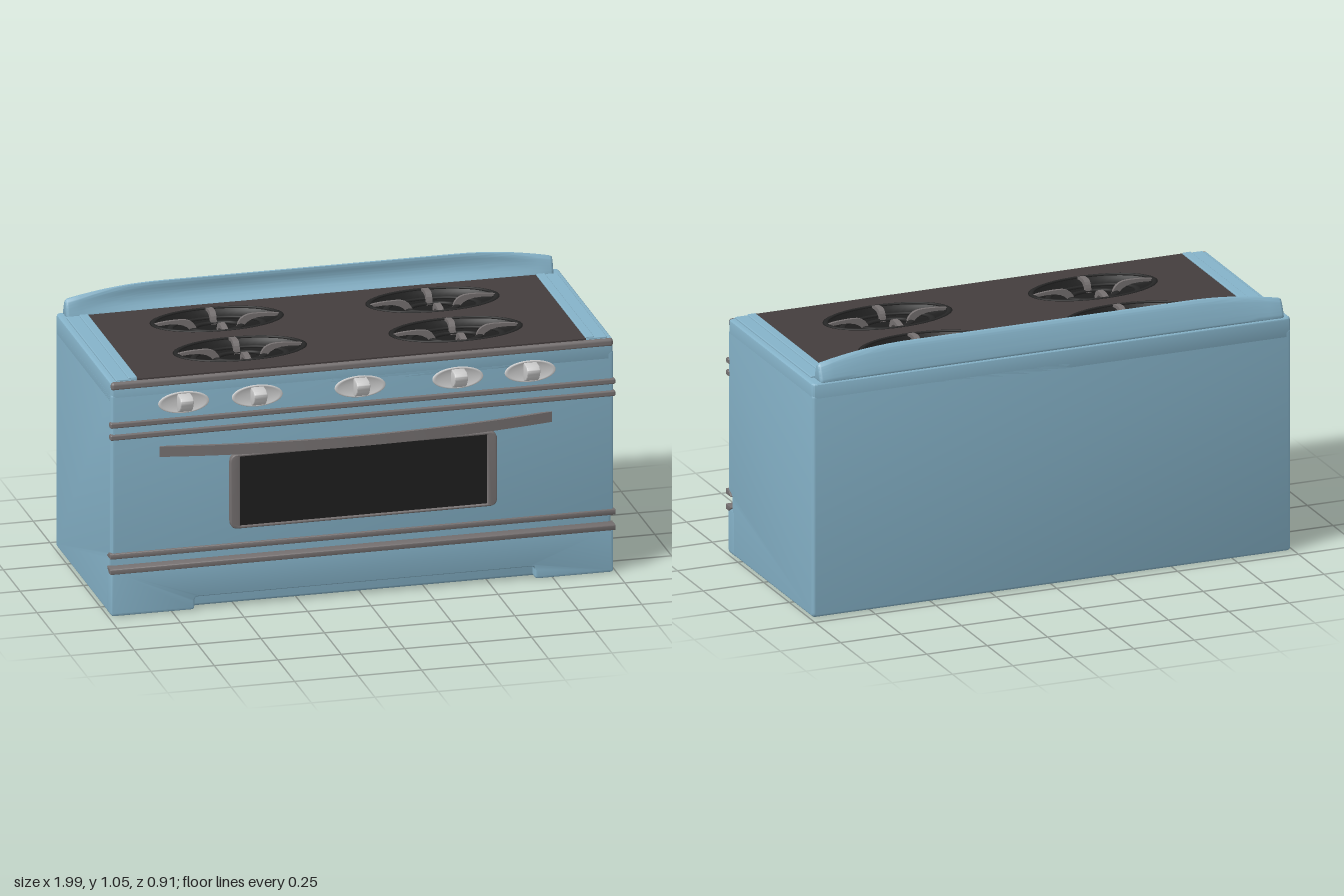
import * as THREE from 'three';
import { RoundedBoxGeometry } from 'three/addons/geometries/RoundedBoxGeometry.js';
import { toCreasedNormals } from 'three/addons/utils/BufferGeometryUtils.js';

const mat = (color, side = THREE.FrontSide) => new THREE.MeshStandardMaterial({ color, side });
const blue = mat(0x85b2c8), grey = mat(0x757070), dark = mat(0x443d3d), iron = mat(0x262626);
const black = mat(0x1d1d1d, THREE.DoubleSide), steel = mat(0xcccccc, THREE.DoubleSide);
const burnerSpots = [-0.42, 0.43].flatMap((x) => [-0.21, 0.135].map((z) => [x, z]));

function add(parent, name, geometry, material, x = 0, y = 0, z = 0) {
  const mesh = new THREE.Mesh(geometry, material);
  mesh.name = name;
  mesh.position.set(x, y, z);
  parent.add(mesh);
  return mesh;
}

// Box given by its limits
function block(parent, name, material, [x0, x1], [y0, y1], [z0, z1], r = 0.004) {
  return add(parent, name, new RoundedBoxGeometry(x1 - x0, y1 - y0, z1 - z0, 2, r), material,
    (x0 + x1) / 2, (y0 + y1) / 2, (z0 + z1) / 2);
}

// Closed polygon with rounded corners
function roundedShape(points, r, Type = THREE.Shape) {
  const p = points.map(([x, y]) => new THREE.Vector2(x, y));
  const toward = (a, b) => a.clone().add(b.clone().sub(a).setLength(Math.min(r, a.distanceTo(b) * 0.45)));
  const shape = new Type();
  p.forEach((c, i) => {
    const a = toward(c, p[(i + p.length - 1) % p.length]);
    const b = toward(c, p[(i + 1) % p.length]);
    if (i) shape.lineTo(a.x, a.y); else shape.moveTo(a.x, a.y);
    shape.quadraticCurveTo(c.x, c.y, b.x, b.y);
  });
  shape.closePath();
  return shape;
}

function extrude(shape, length, bevel, { steps = 1, curveSegments = 5 } = {}) {
  const geometry = new THREE.ExtrudeGeometry(shape, {
    depth: length - 2 * bevel, steps, curveSegments, bevelEnabled: bevel > 0,
    bevelSize: bevel, bevelOffset: -bevel, bevelThickness: bevel, bevelSegments: 3,
  });
  return geometry.translate(0, 0, bevel);
}

// Side profile of [z, y] points, extruded along x and centred
function sideExtrude(points, r, width, bevel, steps = 1) {
  const shape = roundedShape(points.map(([z, y]) => [-z, y]), r);
  return extrude(shape, width, bevel, { steps }).translate(0, 0, -width / 2).rotateY(Math.PI / 2);
}

// Plan shape drawn in (x, -z), extruded upwards
const planExtrude = (shape, height, bevel) =>
  toCreasedNormals(extrude(shape, height, bevel, { curveSegments: 24 }).rotateX(-Math.PI / 2), 0.5);

const rectangle = (x0, x1, y0, y1) => [[x0, y0], [x1, y0], [x1, y1], [x0, y1]];

function createBurner(x, z) {
  const burner = new THREE.Group();
  burner.name = 'burner';
  burner.position.set(x, 0.95, z);
  burner.scale.set(0.26, 1, 0.135);
  // Sunken bowl
  const section = [[0, -0.036], [0.5, -0.036], [0.75, -0.028], [0.92, -0.012], [0.97, 0.002], [1.01, 0.002]]
    .map(([r, h]) => new THREE.Vector2(r, h));
  add(burner, 'burnerBowl', new THREE.LatheGeometry(section, 48), black);
  for (const [r, tube, y] of [[0.96, 0.04, 0.001], [0.7, 0.05, -0.026], [0.36, 0.06, -0.03]]) {
    const ring = new THREE.TorusGeometry(r, tube, 8, 48).rotateX(Math.PI / 2).scale(1, 0.12, 1);
    add(burner, 'burnerRing', ring, iron, 0, y, 0);
  }
  // Grate arms arch over the rim and drop into the bowl
  const profile = new THREE.Shape().moveTo(0.3, -0.034).quadraticCurveTo(0.34, 0.013, 0.55, 0.013)
    .quadraticCurveTo(0.9, 0.013, 0.99, 0).lineTo(0.88, -0.004).quadraticCurveTo(0.5, 0.008, 0.4, -0.034);
  for (let i = 0; i < 4; i++) {
    const arm = new THREE.Group();
    arm.name = 'grateArm';
    arm.rotation.y = i * Math.PI / 2;
    add(arm, 'grateBar', extrude(profile, 0.09, 0), grey, 0, 0, -0.045);
    burner.add(arm);
  }
  return burner;
}

function createKnob(x) {
  const knob = new THREE.Group();
  knob.name = 'knob';
  knob.position.set(x, 0.845, 0.37);
  // Hollow dish with a raised rim
  const section = [[0, 0.003], [0.35, 0.0035], [0.65, 0.005], [0.88, 0.009], [0.96, 0.01], [1, 0.007], [1, -0.002]]
    .map(([r, h]) => new THREE.Vector2(r, h));
  add(knob, 'knobDish', new THREE.LatheGeometry(section, 40).rotateX(Math.PI / 2).scale(0.1, 0.043, 1), steel);
  // Grip: nearly flat on top, swept back below
  const grip = [[0, 0.037], [0.045, 0.034], [0.064, 0.022], [0.058, 0], [0.042, -0.022], [0.02, -0.034], [0, -0.035]];
  add(knob, 'knobGrip', toCreasedNormals(sideExtrude(grip, 0.008, 0.052, 0.004), 0.6), steel);
  return knob;
}

function createHandle() {
  // Thin bar bowed forward
  const bow = (z) => new THREE.QuadraticBezierCurve(
    new THREE.Vector2(-0.8, z), new THREE.Vector2(-0.03, z + 0.157), new THREE.Vector2(0.745, z));
  const outer = bow(0.378).getPoints(32), inner = bow(0.364).getPoints(32).reverse();
  const geometry = extrude(new THREE.Shape([...outer, ...inner]), 0.041, 0).rotateX(Math.PI / 2);
  return toCreasedNormals(geometry, 0.5);
}

function createBackguard() {
  // Rounded arch, lower towards both ends and hollowed along the front
  const arch = [[-0.38, 0], [-0.383, 0.03], [-0.389, 0.065], [-0.398, 0.098], [-0.413, 0.117],
    [-0.427, 0.102], [-0.438, 0.07], [-0.447, 0.035], [-0.453, 0]];
  const geometry = sideExtrude(arch, 0.012, 1.92, 0.012, 40);
  const pos = geometry.attributes.position;
  for (let i = 0; i < pos.count; i++) {
    const x = Math.abs(pos.getX(i)), y = pos.getY(i), z = pos.getZ(i);
    const t = Math.max(0, (x - 0.58) / 0.38);
    if (z > -0.408) pos.setZ(i, z - 0.025 * (1 - (x / 0.96) ** 4) * Math.sin(Math.PI * Math.min(1, y / 0.112)));
    pos.setY(i, y * (1 - 0.38 * t * t));
  }
  return toCreasedNormals(geometry, 0.7);
}

export function createModel() {
  const stove = new THREE.Group();
  stove.name = 'stove';

  // Cabinet with the groove above the bottom drawer, and an open rim under the cooktop
  const cabinet = [[-0.456, 0], [0.337, 0], [0.337, 0.24], [0.372, 0.24], [0.372, 0.905], [-0.456, 0.905]];
  add(stove, 'cabinet', toCreasedNormals(sideExtrude(cabinet, 0.02, 1.98, 0.014), 0.5), blue);
  const rim = roundedShape(rectangle(-0.99, 0.99, -0.372, 0.456), 0.02);
  rim.holes.push(roundedShape(rectangle(-0.8, 0.8, -0.31, 0.375), 0.01, THREE.Path));
  add(stove, 'cabinetRim', planExtrude(rim, 0.09, 0.012), blue, 0, 0.855, 0);

  // Base panel with toe cut-out
  const base = roundedShape([[-0.99, 0], [-0.66, 0], [-0.66, 0.05], [0.68, 0.05],
    [0.68, 0], [0.99, 0], [0.99, 0.19], [-0.99, 0.19]], 0.014);
  add(stove, 'basePanel', toCreasedNormals(extrude(base, 0.072, 0.01), 0.4), blue, 0, 0, 0.3);

  // Horizontal trims
  for (const y of [0.726, 0.775])
    block(stove, 'upperTrim', grey, [-0.995, 0.995], [y - 0.011, y + 0.011], [0.355, 0.382], 0.006);
  for (const s of [-1, 1]) {
    const profile = [[0.382, 0.02], [0.382, 0.042], [0.355, 0.042], [0.33, 0.025], [0.33, 0.02]]
      .map(([z, y]) => [z, 0.215 + s * y]);
    add(stove, 'lowerTrim', toCreasedNormals(sideExtrude(profile, 0.005, 1.99, 0.002), 0.6), grey);
  }
  block(stove, 'frontEdgeTrim', grey, [-0.989, 0.989], [0.912, 0.945], [0.345, 0.374], 0.012);

  // Cooktop with burner openings and stepped side rails
  const top = roundedShape(rectangle(-0.885, 0.885, -0.36, 0.4), 0.004);
  for (const [x, z] of burnerSpots)
    top.holes.push(new THREE.Path().absellipse(x, -z, 0.258, 0.134, 0, Math.PI * 2));
  add(stove, 'cooktop', planExtrude(top, 0.016, 0), dark, 0, 0.935, 0);
  for (const s of [-1, 1]) {
    block(stove, 'sideRail', blue, [s * 0.925 - 0.0425, s * 0.925 + 0.0425], [0.922, 0.952], [-0.383, 0.357]);
    block(stove, 'sideRailRidge', blue, [s * 0.9 - 0.0175, s * 0.9 + 0.0175], [0.927, 0.957], [-0.38, 0.355]);
  }
  for (const [x, z] of burnerSpots) stove.add(createBurner(x, z));

  add(stove, 'backguard', createBackguard(), blue, -0.005, 0.941, 0);

  for (const x of [-0.705, -0.415, -0.01, 0.375, 0.66]) stove.add(createKnob(x));

  add(stove, 'doorHandle', createHandle(), grey, 0, 0.674, 0);

  // Oven window
  const frame = roundedShape(rectangle(-0.525, 0.525, 0.32, 0.62), 0.03);
  frame.holes.push(roundedShape(rectangle(-0.487, 0.487, 0.33, 0.61), 0.004, THREE.Path));
  add(stove, 'windowFrame', toCreasedNormals(extrude(frame, 0.034, 0.004), 0.6), grey, 0, 0, 0.361);
  block(stove, 'windowGlass', black, [-0.5, 0.5], [0.326, 0.614], [0.362, 0.386], 0.002);

  return stove;
}
